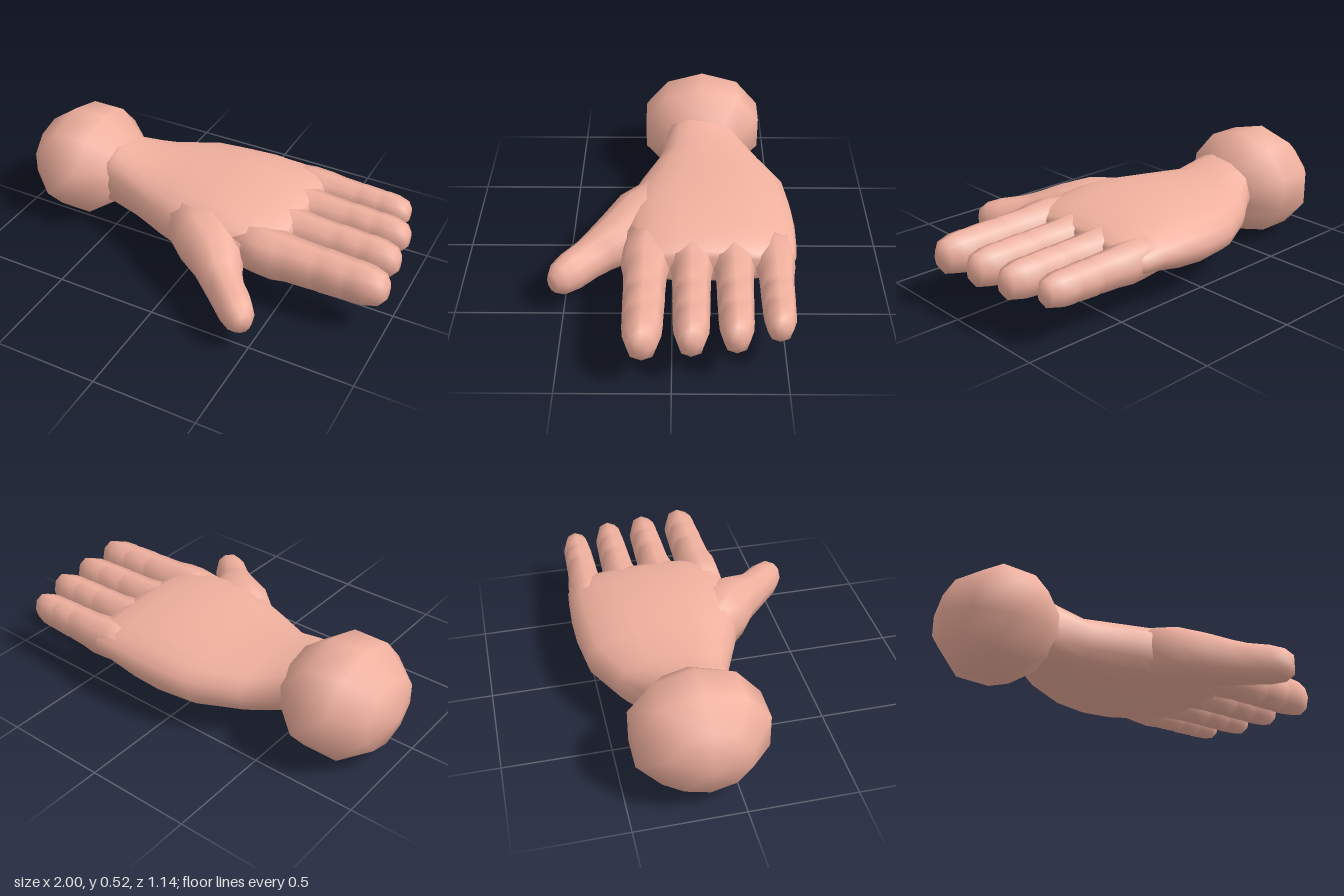
import * as THREE from 'three';

const skin = new THREE.MeshStandardMaterial({ color: 0xf0b09e });

// Smooth closed loft. Each ring: [x, y, z, halfWidth, halfHeight, yaw]
function loft(name, rings, sides, power = 2, taper = 0) {
  const pos = [], idx = [];
  const round = (v) => Math.sign(v) * Math.pow(Math.abs(v), 2 / power);
  for (const [x, y, z, a, b, yaw = 0] of rings) {
    for (let j = 0; j < sides; j++) {
      const t = (j / sides) * Math.PI * 2;
      const c = round(Math.cos(t)) * a;
      const s = round(Math.sin(t)) * b * (1 + taper * Math.cos(t));
      pos.push(x - Math.sin(yaw) * c, y + s, z + Math.cos(yaw) * c);
    }
  }
  for (let i = 0; i < rings.length - 1; i++) {
    for (let j = 0; j < sides; j++) {
      const k = (j + 1) % sides;
      const p = i * sides + j, q = i * sides + k;
      idx.push(p, p + sides, q, q, p + sides, q + sides);
    }
  }
  // End caps
  const n = rings.length, last = (n - 1) * sides, centre = n * sides;
  pos.push(...rings[0].slice(0, 3), ...rings[n - 1].slice(0, 3));
  for (let j = 0; j < sides; j++) {
    const k = (j + 1) % sides;
    idx.push(centre, j, k, centre + 1, last + k, last + j);
  }
  const geo = new THREE.BufferGeometry();
  geo.setAttribute('position', new THREE.Float32BufferAttribute(pos, 3));
  geo.setIndex(idx);
  geo.computeVertexNormals();
  const mesh = new THREE.Mesh(geo, skin);
  mesh.name = name;
  return mesh;
}

// Straight finger along +x with a wide knuckle, slight joints and a round tip
function finger(name, z, tip, w, h, y) {
  const base = 0.47, len = tip - base;
  const rings = [
    [0.25, y + 0.005, z, w * 1.05, h * 0.95],
    [0.38, y + 0.005, z, w * 1.18, h * 1.1],
    [0.46, y, z, w * 1.2, h * 1.1],
    [0.53, y, z, w * 1.05, h * 1.03],
  ];
  const profile = [[0.34, 1.0, 1.0], [0.38, 1.0, 0.96], [0.43, 1.0, 1.0], [0.62, 0.96, 0.96],
    [0.66, 0.95, 0.93], [0.71, 0.95, 0.96], [0.83, 0.9, 0.92], [0.95, 0.68, 0.76], [1, 0.36, 0.42]];
  for (const [t, a, b] of profile) rings.push([base + len * t, y, z + 0.005 * t, w * a, h * b]);
  return loft(name, rings, 8, 2.3);
}

export function createModel() {
  const hand = new THREE.Group();
  hand.name = 'hand';

  // Rounded wrist end, poles along x
  const ball = new THREE.SphereGeometry(1, 10, 5);
  ball.rotateZ(Math.PI / 2);
  ball.rotateX(Math.PI / 2);
  ball.rotateX(Math.PI / 10 * 5);
  const wrist = new THREE.Mesh(ball, skin);
  wrist.name = 'wristBall';
  // Ring vertices sit at the top and bottom of the ball
  wrist.scale.set(0.275, 0.276, 0.326);
  wrist.position.set(-0.725, 0.2635, -0.15);
  hand.add(wrist);

  // Palm: [x, back z, front z, bottom y, top y]
  const sections = [
    [-0.6, -0.34, 0.04, 0.1, 0.425],
    [-0.5, -0.34, 0.04, 0.105, 0.42],
    [-0.36, -0.44, 0.075, 0.09, 0.383],
    [-0.15, -0.548, 0.165, 0.075, 0.395],
    [0.02, -0.57, 0.225, 0.067, 0.403],
    [0.16, -0.575, 0.235, 0.085, 0.405],
    [0.3, -0.57, 0.22, 0.125, 0.385],
    [0.4, -0.562, 0.205, 0.14, 0.365],
    [0.46, -0.54, 0.19, 0.165, 0.335],
    [0.475, -0.52, 0.17, 0.19, 0.31],
  ];
  hand.add(loft('palm', sections.map(([x, z0, z1, y0, y1]) =>
    [x, (y0 + y1) / 2, (z0 + z1) / 2, (z1 - z0) / 2, (y1 - y0) / 2]), 20, 2.35, 0.12));

  // Fingers: name, z, tip x, half width, half height, y
  const fingers = [
    ['indexFinger', 0.12, 0.995, 0.092, 0.104, 0.245],
    ['middleFinger', -0.087, 0.975, 0.083, 0.1, 0.245],
    ['ringFinger', -0.278, 0.955, 0.08, 0.096, 0.245],
    ['littleFinger', -0.463, 0.895, 0.075, 0.084, 0.248],
  ];
  for (const f of fingers) hand.add(finger(...f));

  // Thumb, curving outwards from the palm
  hand.add(loft('thumb', [
    [-0.05, 0.235, 0.06, 0.12, 0.13, 0.6],
    [0.1, 0.235, 0.15, 0.155, 0.145, 0.68],
    [0.21, 0.22, 0.245, 0.13, 0.128, 0.75],
    [0.285, 0.195, 0.34, 0.098, 0.108, 0.76],
    [0.335, 0.182, 0.395, 0.085, 0.1, 0.77],
    [0.41, 0.175, 0.465, 0.082, 0.094, 0.77],
    [0.46, 0.17, 0.512, 0.068, 0.08, 0.77],
    [0.488, 0.168, 0.54, 0.038, 0.048, 0.77],
  ], 10, 2.2));

  return hand;
}
